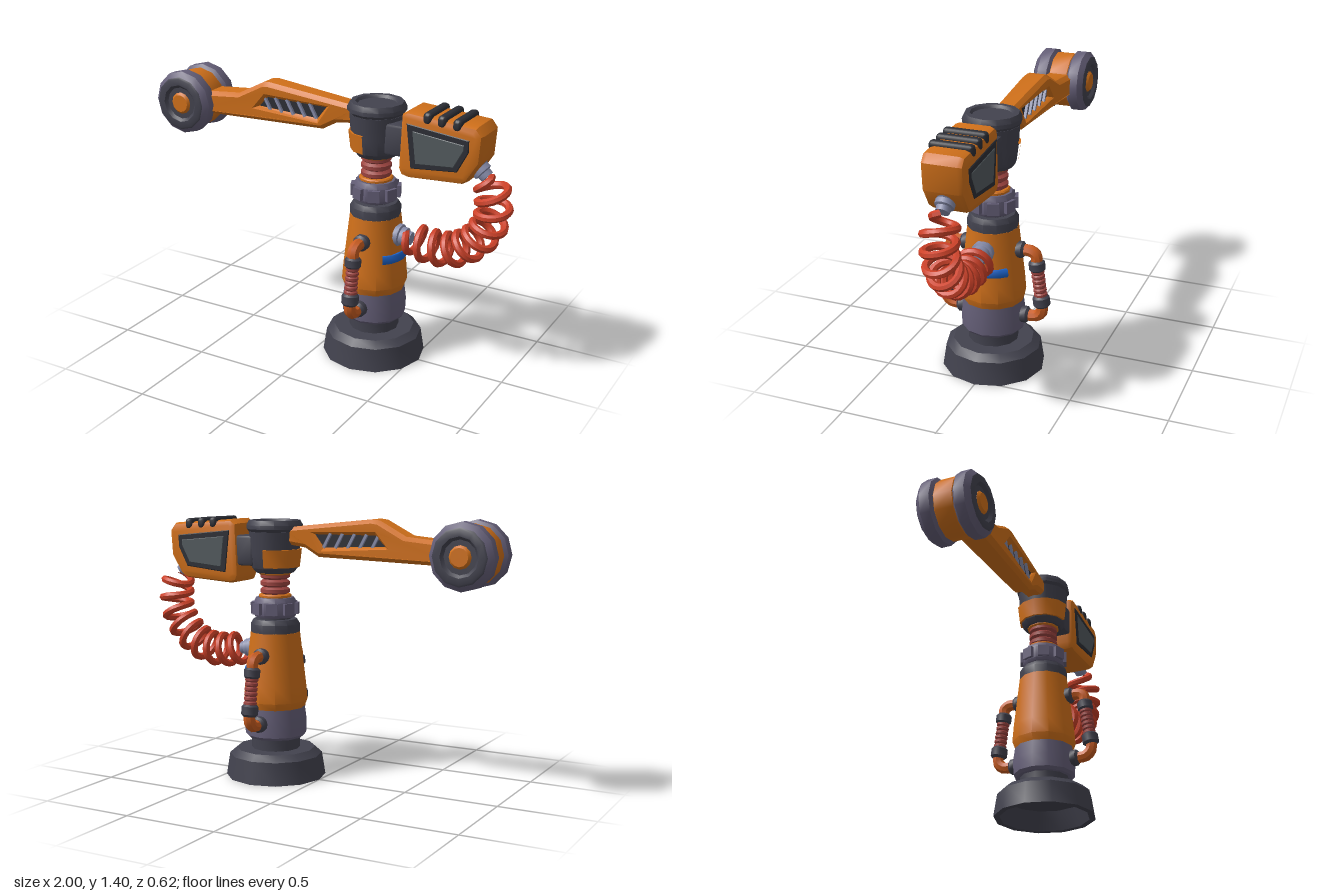
import * as THREE from 'three';
import { toCreasedNormals } from 'three/addons/utils/BufferGeometryUtils.js';
import { RoundedBoxGeometry } from 'three/addons/geometries/RoundedBoxGeometry.js';

const ORANGE = 0xd0701a, HOSE = 0xc85c20, RED = 0xcc4128, MAROON = 0x9c4440;
const DARK = 0x42424e, BLACK = 0x2c2e35, PURPLE = 0x655f78, STEEL = 0x858aa8;
const UP = new THREE.Vector3(0, 1, 0);
const v = (x, y, z = 0) => new THREE.Vector3(x, y, z);

function add(parent, name, geo, color, x = 0, y = 0, z = 0) {
  const mat = new THREE.MeshStandardMaterial({ color });
  const mesh = new THREE.Mesh(toCreasedNormals(geo, 0.6), mat);
  mesh.name = name;
  mesh.position.set(x, y, z);
  parent.add(mesh);
  return mesh;
}

// Turned part from [radius, height] pairs, bottom to top
const turned = (pts, sides = 12, start = 0, sweep = Math.PI * 2) =>
  new THREE.LatheGeometry(pts.map(([r, y]) => new THREE.Vector2(r, y)), sides, start, sweep);

// Chamfered drum standing on y = 0
const drum = (r, h, c = 0.012, sides = 12) =>
  turned([[0, 0], [r - c, 0], [r, c], [r, h - c], [r - c, h], [0, h]], sides);

// Ribbed sleeve standing on y = 0
function bellows(r, h, ribs) {
  const pts = [];
  for (let i = 0; i < ribs; i++) {
    const y = (i * h) / ribs, s = h / ribs;
    pts.push([r * 0.8, y], [r, y + s * 0.25], [r, y + s * 0.7], [r * 0.8, y + s]);
  }
  return turned(pts);
}

// Point a part's own y axis along a direction
function aim(mesh, dir) {
  mesh.quaternion.setFromUnitVectors(UP, dir.clone().normalize());
  return mesh;
}

const outline = (pts, Type = THREE.Shape) => new Type(pts.map(([x, y]) => new THREE.Vector2(x, y)));

// Chamfered slab of a side profile, centred on z = 0; outer size stays exact
function slab(pts, width, bevel, segments = 1, hole = null) {
  const shape = outline(pts);
  if (hole) shape.holes.push(outline(hole, THREE.Path));
  const geo = new THREE.ExtrudeGeometry(shape, {
    depth: width - 2 * bevel, bevelEnabled: bevel > 0, bevelSize: bevel,
    bevelThickness: bevel, bevelOffset: -bevel, bevelSegments: segments,
  });
  return geo.translate(0, 0, -(width - 2 * bevel) / 2);
}

// Coil wound round a flat guide curve, narrowing at both ends
class Coil extends THREE.Curve {
  constructor(guide, radius, turns) {
    super();
    Object.assign(this, { guide, radius, turns });
  }
  getPoint(t, target = new THREE.Vector3()) {
    const c = this.guide.getPointAt(t), d = this.guide.getTangentAt(t);
    const r = this.radius * Math.min(1, 0.3 + t * 12, 0.3 + (1 - t) * 12);
    const a = t * this.turns * Math.PI * 2;
    return target.set(c.x - d.y * r * Math.cos(a), c.y + d.x * r * Math.cos(a), r * Math.sin(a));
  }
}

function buildColumn() {
  const g = new THREE.Group();
  g.name = 'column';
  g.position.x = 0.267;
  // Hollow foot
  add(g, 'base', turned([[0, 0.1], [0.2, 0.1], [0.235, 0], [0.267, 0], [0.248, 0.12], [0.21, 0.152], [0, 0.152]]), DARK);
  add(g, 'ankle', turned([[0.13, 0.14], [0.13, 0.22]]), DARK);
  add(g, 'hip', turned([[0.1, 0.215], [0.15, 0.215], [0.163, 0.23], [0.166, 0.3], [0.153, 0.4], [0.1, 0.42]]), PURPLE);
  add(g, 'shell', turned([[0.14, 0.375], [0.155, 0.375], [0.17, 0.415], [0.163, 0.5], [0.131, 0.78], [0.1, 0.785]]), ORANGE);
  add(g, 'shoulderCollar', turned([[0.1, 0.775], [0.13, 0.78], [0.13, 0.825], [0.115, 0.85], [0.085, 0.85], [0.085, 0.88]]), DARK);
  // Notched ring
  add(g, 'neckRing', turned([[0.08, 0.86], [0.105, 0.86], [0.114, 0.875], [0.114, 0.94], [0.1, 0.965], [0.07, 0.965]]), PURPLE);
  for (let i = 0; i < 8; i++) {
    const a = ((i + 0.5) / 8) * Math.PI * 2;
    const lug = add(g, 'ringLug', new THREE.BoxGeometry(0.06, 0.06, 0.025), PURPLE, Math.sin(a) * 0.114, 0.908, Math.cos(a) * 0.114);
    lug.rotation.y = a;
  }
  add(g, 'neckBand', drum(0.087, 0.022, 0.006), ORANGE, 0, 0.96);
  add(g, 'neckBellows', bellows(0.078, 0.12, 3), MAROON, 0, 0.98);
  add(g, 'neckTopBand', drum(0.087, 0.02, 0.006), ORANGE, 0, 1.085);
  // Swivel head with a dished top
  add(g, 'head', turned([[0, 1.095], [0.1, 1.095], [0.12, 1.12], [0.13, 1.2], [0.137, 1.31], [0, 1.33]]), DARK);
  add(g, 'headRim', turned([[0.13, 1.305], [0.148, 1.325], [0.148, 1.345], [0.135, 1.37], [0.11, 1.37], [0.1, 1.355], [0, 1.355]]), DARK);
  add(g, 'headGuard', turned([[0.1, 1.125], [0.131, 1.125], [0.142, 1.22], [0.11, 1.22]], 6, Math.PI * 1.02, Math.PI * 0.96), ORANGE);
  // Curved light strip on the cable side
  const strip = turned([[0.13, 0.555], [0.163, 0.555], [0.167, 0.565], [0.164, 0.588], [0.158, 0.597], [0.13, 0.597]], 6, Math.PI * 0.23, Math.PI * 0.54);
  add(g, 'lightStrip', strip, 0x1c62c8).material.side = THREE.DoubleSide;
  // Hoses on both sides
  for (const turn of [0, Math.PI]) {
    const side = buildSideHose();
    side.rotation.y = turn;
    g.add(side);
  }
  return g;
}

function buildSideHose() {
  const g = new THREE.Group();
  g.name = 'sideHose';
  const out = v(0, 0, 1), lean = v(0, -0.2, 0.028);
  for (const [y, z] of [[0.665, 0.12], [0.305, 0.145]])
    aim(add(g, 'hoseSocket', drum(0.043, 0.052), DARK, 0, y, z), out);
  const bends = [
    [v(0, 0.665, 0.15), v(0, 0.665, 0.205), v(0, 0.645, 0.232), v(0, 0.6, 0.234)],
    [v(0, 0.4, 0.262), v(0, 0.34, 0.265), v(0, 0.308, 0.235), v(0, 0.305, 0.17)],
  ];
  for (const pts of bends)
    add(g, 'hoseBend', new THREE.TubeGeometry(new THREE.CatmullRomCurve3(pts), 8, 0.031, 8), HOSE);
  aim(add(g, 'hoseCollarTop', drum(0.042, 0.06), DARK, 0, 0.62, 0.232), lean);
  aim(add(g, 'hoseBellows', bellows(0.034, 0.15, 6), MAROON, 0, 0.57, 0.238), lean);
  aim(add(g, 'hoseCollarBottom', drum(0.044, 0.065), DARK, 0, 0.43, 0.257), lean);
  return g;
}

function buildArm() {
  const g = new THREE.Group();
  g.name = 'arm';
  const profile = [[-0.8, 1.17], [-0.65, 1.175], [-0.02, 1.19], [0.06, 1.235], [0.18, 1.25], [0.18, 1.335],
    [-0.33, 1.39], [-0.37, 1.385], [-0.515, 1.31], [-0.8, 1.285]];
  const slot = [[-0.4, 1.255], [-0.345, 1.31], [0, 1.305], [-0.05, 1.24]];
  // Beam narrows in depth toward the head
  const taper = (x) => 0.055 + 0.025 * THREE.MathUtils.clamp((0.13 - x) / 0.81, 0, 1);
  const beam = slab(profile, 2, 0.02, 1, slot);
  const p = beam.attributes.position;
  for (let i = 0; i < p.count; i++) {
    const z = p.getZ(i);
    const share = Math.abs(z) > 0.99 ? 1 : 0.66;
    p.setZ(i, Math.sign(z) * taper(p.getX(i)) * share);
  }
  add(g, 'beam', beam, ORANGE);
  add(g, 'slotBacking', slab([[-0.45, 1.235], [-0.36, 1.325], [0.04, 1.32], [-0.04, 1.22]], 0.08, 0), BLACK);
  for (let i = 0; i < 5; i++) {
    const slat = add(g, 'slat', new THREE.BoxGeometry(0.014, 0.085, 0.108), STEEL, -0.345 + i * 0.068, 1.277);
    slat.rotation.z = 0.5;
  }
  // Twin wheel at the arm's end
  const wheel = new THREE.Group();
  wheel.name = 'endWheel';
  wheel.position.set(-0.833, 1.228, 0);
  g.add(wheel);
  aim(add(wheel, 'wheelDrum', drum(0.152, 0.12), ORANGE, 0, 0, -0.06), v(0, 0, 1));
  const rim = [[0, 0.045], [0.14, 0.045], [0.168, 0.065], [0.168, 0.118], [0.138, 0.146], [0.1, 0.146], [0.088, 0.13], [0, 0.13]];
  for (const s of [1, -1]) {
    aim(add(wheel, 'wheelRim', turned(rim), PURPLE), v(0, 0, s));
    aim(add(wheel, 'wheelFace', turned([[0.142, 0.144], [0.132, 0.15], [0.1, 0.15], [0.085, 0.135], [0, 0.135]]), DARK), v(0, 0, s));
    aim(add(wheel, 'wheelCap', drum(0.058, 0.05), ORANGE, 0, 0, s * 0.098), v(0, 0, s));
  }
  return g;
}

function buildPod() {
  const g = new THREE.Group();
  g.name = 'pod';
  add(g, 'podMount', new RoundedBoxGeometry(0.12, 0.16, 0.18, 1, 0.015), DARK, 0.41, 1.21);
  const body = [[0.49, 1.035], [0.77, 1.052], [0.8, 1.07], [0.862, 1.17], [0.872, 1.305], [0.84, 1.345],
    [0.48, 1.372], [0.447, 1.35], [0.435, 1.08], [0.45, 1.045]];
  add(g, 'podBody', slab(body, 0.215, 0.03, 2), ORANGE);
  add(g, 'sideFrame', slab([[0.505, 1.088], [0.755, 1.112], [0.812, 1.22], [0.812, 1.285], [0.478, 1.32]], 0.223, 0.008), BLACK);
  add(g, 'sidePane', slab([[0.535, 1.12], [0.735, 1.137], [0.785, 1.23], [0.785, 1.255], [0.515, 1.283]], 0.229, 0.003), 0x525a5e);
  for (const [x, y] of [[0.588, 1.352], [0.663, 1.347], [0.742, 1.341]])
    add(g, 'topBand', new RoundedBoxGeometry(0.046, 0.06, 0.222, 2, 0.018), BLACK, x, y).rotation.z = -0.07;
  return g;
}

function buildCable() {
  const g = new THREE.Group();
  g.name = 'coiledCable';
  const plug = [[0, 0], [0.058, 0], [0.058, 0.025], [0.048, 0.03], [0.048, 0.055], [0.036, 0.06], [0.034, 0.085], [0, 0.085]];
  aim(add(g, 'podPlug', turned(plug), STEEL, 0.8, 1.135), v(0.75, -0.65));
  aim(add(g, 'columnPlug', turned(plug), STEEL, 0.39, 0.685), v(1, -0.1));
  const guide = new THREE.CatmullRomCurve3([v(0.44, 0.68), v(0.57, 0.66), v(0.7, 0.668), v(0.82, 0.74),
    v(0.895, 0.86), v(0.9, 0.98), v(0.865, 1.075)]);
  add(g, 'coil', new THREE.TubeGeometry(new Coil(guide, 0.077, 9.5), 170, 0.02, 7), RED);
  return g;
}

export function createModel() {
  const model = new THREE.Group();
  model.name = 'roboticArm';
  model.add(buildColumn(), buildArm(), buildPod(), buildCable());
  return model;
}
